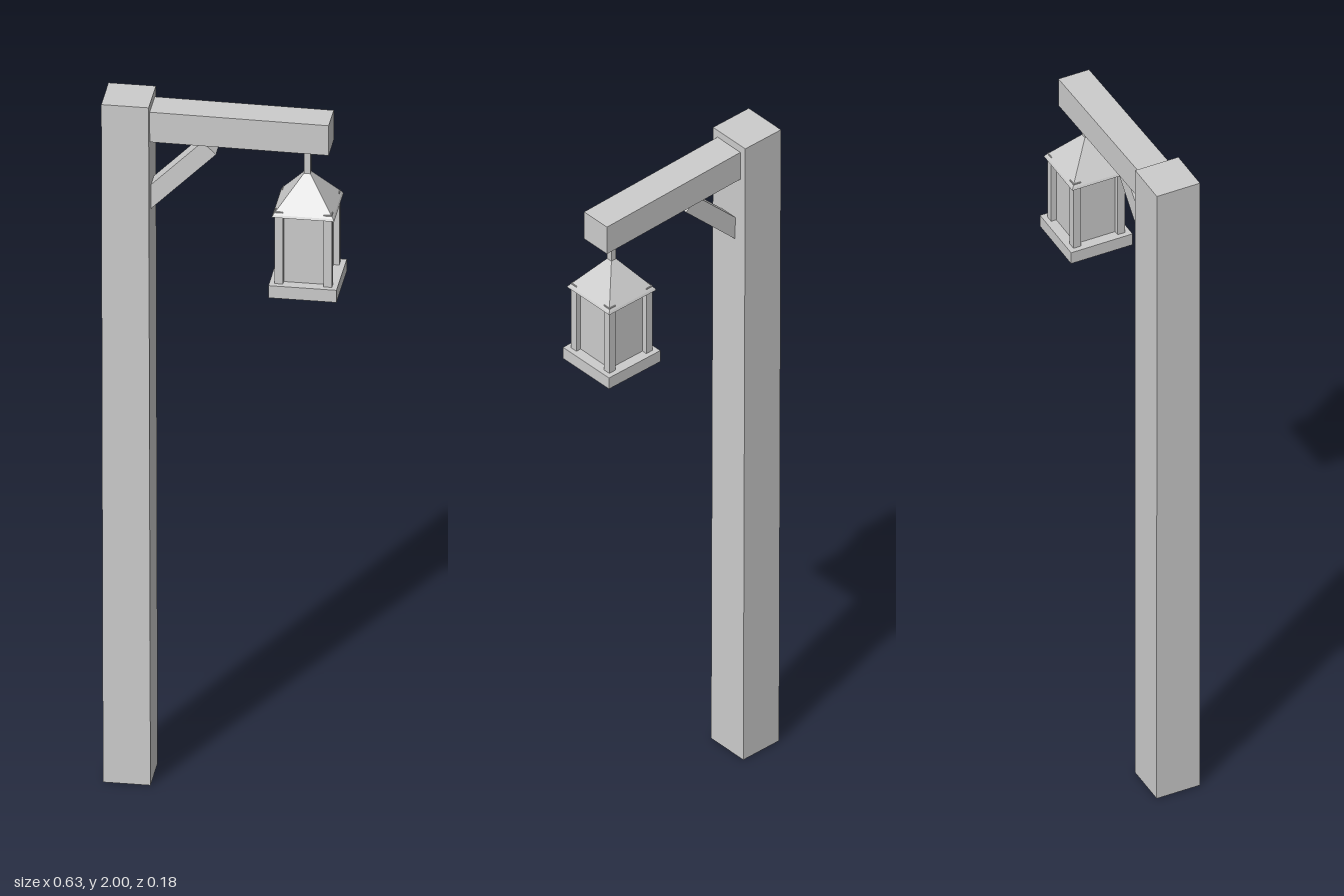
import * as THREE from 'three';

const grey = new THREE.MeshStandardMaterial({ color: 0xcccccc });
grey.name = 'plain grey';

function add(parent, name, geometry, x = 0, y = 0, z = 0) {
  const mesh = new THREE.Mesh(geometry, grey);
  mesh.name = name;
  mesh.position.set(x, y, z);
  parent.add(mesh);
  return mesh;
}

// Box whose corners are shifted by a rule, for roughly hewn timber
function hewnBox(w, h, d, rule) {
  const g = new THREE.BoxGeometry(w, h, d);
  const p = g.attributes.position;
  const v = new THREE.Vector3();
  for (let i = 0; i < p.count; i++) {
    v.fromBufferAttribute(p, i);
    rule(v);
    p.setXYZ(i, v.x, v.y, v.z);
  }
  g.computeVertexNormals();
  return g;
}

// Four-sided frustum with flat sides facing the axes
function squareFrustum(topHalf, bottomHalf, height) {
  const r = Math.SQRT2;
  const g = new THREE.CylinderGeometry(topHalf * r, bottomHalf * r, height, 4, 1)
    .rotateY(Math.PI / 4).toNonIndexed();
  g.computeVertexNormals();
  return g;
}

export function createModel() {
  const model = new THREE.Group();
  model.name = 'lanternPost';

  // Post, leaning very slightly
  add(model, 'post', hewnBox(0.126, 2, 0.127, (v) => {
    v.x -= v.y * 0.0025;
    v.z -= v.y * 0.001;
  }), -0.25, 1, -0.002);

  // Arm, drooping and swinging slightly back toward its tip
  add(model, 'arm', hewnBox(0.485, 0.088, 0.09, (v) => {
    v.y -= v.x * 0.013;
    v.z -= v.x * 0.011;
  }), 0.0425, 1.931, -0.005);

  // Diagonal brace between post and arm
  const brace = add(model, 'brace', new THREE.BoxGeometry(0.26, 0.05, 0.052), -0.126, 1.782, -0.002);
  brace.rotation.z = Math.PI / 4;

  // Hanging lantern
  const lantern = new THREE.Group();
  lantern.name = 'lantern';
  lantern.position.set(0.223, 0, -0.002);
  model.add(lantern);

  add(lantern, 'hanger', new THREE.BoxGeometry(0.017, 0.1, 0.017), 0, 1.85, 0);
  add(lantern, 'base', new THREE.BoxGeometry(0.181, 0.036, 0.181), 0, 1.496, 0);
  add(lantern, 'lampBody', new THREE.BoxGeometry(0.122, 0.205, 0.122), 0, 1.6125, 0);
  add(lantern, 'roofEave', squareFrustum(0.08, 0.083, 0.006), 0, 1.715, 0);
  add(lantern, 'roof', squareFrustum(0.004, 0.08, 0.098), 0, 1.767, 0);

  // Corner posts, whose tops just break through the roof
  for (const sx of [-1, 1]) {
    for (const sz of [-1, 1]) {
      add(lantern, 'cornerPost', new THREE.BoxGeometry(0.022, 0.212, 0.022), sx * 0.065, 1.62, sz * 0.065);
    }
  }
  return model;
}
